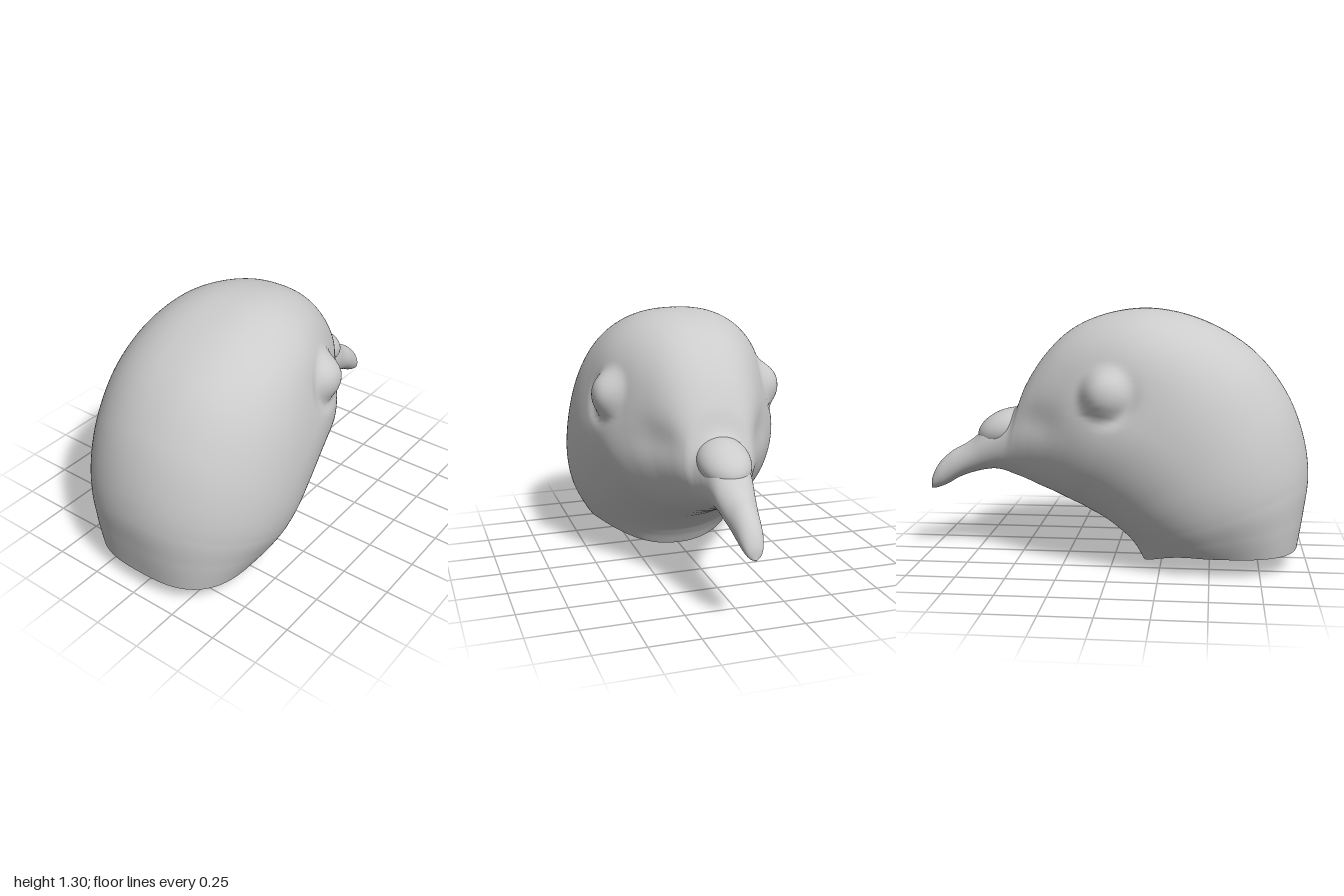
import * as THREE from 'three';

const material = new THREE.MeshStandardMaterial({ color: 0xcccccc, side: THREE.DoubleSide });

// Cross-sections fanning from the neck opening round to the beak tip:
// [crown z, crown y, throat z, throat y, half width, squareness]
const SECTIONS = [
  [0.95, 0.10, 0.15, 0.00, 0.41, 2.85],
  [0.98, 0.28, 0.11, 0.07, 0.465, 2.4],
  [1.00, 0.46, 0.06, 0.13, 0.51, 2.1],
  [0.97, 0.66, 0.00, 0.18, 0.535, 2.05],
  [0.88, 0.88, -0.06, 0.22, 0.54, 2.1],
  [0.71, 1.09, -0.12, 0.25, 0.53, 2.25],
  [0.46, 1.24, -0.18, 0.28, 0.505, 2.4],
  [0.20, 1.303, -0.25, 0.31, 0.465, 2.4],
  [-0.03, 1.28, -0.32, 0.34, 0.39, 2.4],
  [-0.22, 1.20, -0.40, 0.37, 0.305, 2.4],
  [-0.36, 1.07, -0.47, 0.40, 0.24, 2.35],
  [-0.46, 0.92, -0.54, 0.425, 0.185, 2.25],
  [-0.52, 0.79, -0.60, 0.445, 0.145, 2.1],
  [-0.58, 0.755, -0.66, 0.45, 0.122, 2],
  [-0.66, 0.715, -0.72, 0.44, 0.105, 2],
  [-0.74, 0.63, -0.79, 0.42, 0.09, 2],
  [-0.80, 0.585, -0.85, 0.395, 0.078, 2],
  [-0.88, 0.54, -0.90, 0.365, 0.066, 2],
  [-0.95, 0.475, -0.945, 0.345, 0.055, 2],
  [-0.99, 0.40, -0.98, 0.335, 0.035, 2],
  [-0.998, 0.34, -0.996, 0.334, 0.004, 2],
];

// Soft spot in side view, 1 at its centre
const spot = (y, z, cy, cz, ry, rz) => Math.exp(-(((y - cy) / ry) ** 2) - ((z - cz) / rz) ** 2);

// Sculpts socket, lores and eye into one side of the head
function sculpt(x, y, z, s) {
  const socket = -0.022 * spot(y, z, 0.92, 0.02, 0.17, 0.22);
  const lores = -0.02 * spot(y, z, 0.74, -0.36, 0.09, 0.13);
  const skin = x + (socket + lores) * s;
  const d2 = (y - 0.9) ** 2 + z ** 2;
  const eye = 0.5 - 3.5 * d2;
  return THREE.MathUtils.lerp(skin, eye, Math.exp(-((d2 / 0.0165) ** 3)));
}

function loftHead(rings = 220, sides = 144) {
  const crown = new THREE.CatmullRomCurve3(SECTIONS.map(s => new THREE.Vector3(s[4], s[1], s[0])));
  const throat = new THREE.CatmullRomCurve3(SECTIONS.map(s => new THREE.Vector3(s[5], s[3], s[2])));
  const positions = [], indices = [];
  const power = (v, n) => Math.sign(v) * Math.abs(v) ** (2 / n);

  for (let i = 0; i <= rings; i++) {
    const t = i / rings;
    const top = crown.getPoint(t), bottom = throat.getPoint(t);
    const rim = Math.exp(-t * (SECTIONS.length - 1) * 0.8);
    for (let j = 0; j < sides; j++) {
      const a = (j / sides) * Math.PI * 2;
      const n = Math.cos(a) > 0 ? bottom.x : 2 + 0.3 * rim;
      const c = power(Math.cos(a), n), s = power(Math.sin(a), n);
      // Neck rim: level at the back, dipping at the throat
      const dip = Math.max(0, (-c - 0.3) / 0.7);
      const level = 0.05 * (1 - c) * (1 - dip * dip);
      const y = THREE.MathUtils.lerp(bottom.y, top.y, (c + 1) / 2) + level * rim;
      const z = THREE.MathUtils.lerp(bottom.z, top.z, (c + 1) / 2);
      const x = Math.sign(s) * sculpt(top.x * Math.abs(s), y, z, Math.abs(s));
      positions.push(x, y, z);
      if (i < rings) {
        const k = (j + 1) % sides;
        const p = i * sides + j, q = i * sides + k;
        indices.push(p, q, p + sides, q, q + sides, p + sides);
      }
    }
  }
  const geometry = new THREE.BufferGeometry();
  geometry.setAttribute('position', new THREE.Float32BufferAttribute(positions, 3));
  geometry.setIndex(indices);
  geometry.computeVertexNormals();
  return geometry;
}

export function createModel() {
  const group = new THREE.Group();
  group.name = 'birdHead';

  // Head, eyes, neck and beak as one smooth skin, open at the neck
  const head = new THREE.Mesh(loftHead(), material);
  head.name = 'headAndBeak';
  group.add(head);

  // Fleshy dome over the base of the beak
  const cere = new THREE.Mesh(new THREE.SphereGeometry(1, 48, 32), material);
  cere.name = 'cere';
  cere.scale.set(0.13, 0.1, 0.17);
  cere.position.set(0, 0.672, -0.57);
  cere.rotation.x = -0.35;
  group.add(cere);
  return group;
}
